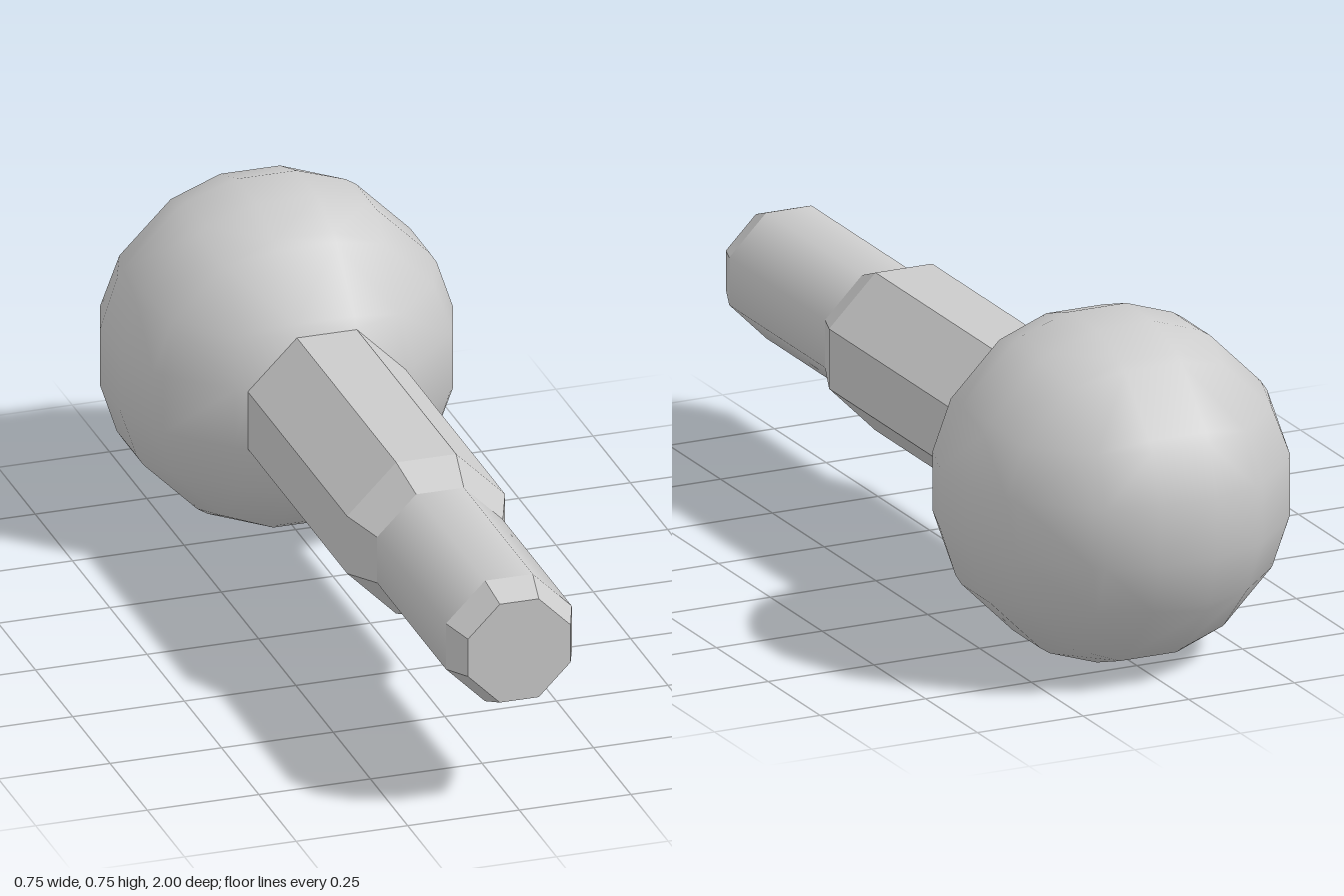
import * as THREE from 'three';
import { ConvexGeometry } from 'three/addons/geometries/ConvexGeometry.js';

const CENTRE_Y = 0.374;
const material = new THREE.MeshStandardMaterial({ color: 0xcccccc });

// Octagon of half-width r, with slightly short axis-aligned sides
function octagon(r) {
  const s = r * 0.379;
  return [[r, -s], [r, s], [s, r], [-s, r], [-r, s], [-r, -s], [-s, -r], [s, -r]];
}

// Octagonal tube along z from (r0, z0) to (r1, z1), flat or smoothly shaded
function octagonSection(r0, z0, r1, z1, smooth = false) {
  const a = octagon(r0), b = octagon(r1), pos = [];
  for (let i = 0; i < 8; i++) {
    const j = (i + 1) % 8;
    const p = [...a[i], z0], q = [...a[j], z0], u = [...b[i], z1], v = [...b[j], z1];
    pos.push(...p, ...q, ...v, ...p, ...v, ...u);
  }
  const g = new THREE.BufferGeometry();
  g.setAttribute('position', new THREE.Float32BufferAttribute(pos, 3));
  g.computeVertexNormals();
  if (smooth) {
    const n = new THREE.Vector3(), p = g.attributes.position;
    for (let i = 0; i < p.count; i++) {
      n.set(p.getX(i), p.getY(i), 0).normalize();
      g.attributes.normal.setXYZ(i, n.x, n.y, n.z);
    }
  }
  return g;
}

// Faceted ball with cube symmetry and smooth normals
function ballGeometry() {
  const seeds = [[0.067, 0.067, 0.373], [0.067, 0.178, 0.336], [0.067, 0.201, 0.321], [0.178, 0.178, 0.293]];
  const orders = [[0, 1, 2], [0, 2, 1], [1, 0, 2], [1, 2, 0], [2, 0, 1], [2, 1, 0]];
  const points = new Map();
  for (const s of seeds) for (const [a, b, c] of orders) for (let k = 0; k < 8; k++) {
    const p = new THREE.Vector3(
      s[a] * (k & 1 ? -1 : 1), s[b] * (k & 2 ? -1 : 1), s[c] * (k & 4 ? -1 : 1));
    points.set(p.toArray().join(), p);
  }
  const g = new ConvexGeometry([...points.values()]);
  const p = g.attributes.position, n = new THREE.Vector3();
  for (let i = 0; i < p.count; i++) {
    n.fromBufferAttribute(p, i).normalize();
    g.attributes.normal.setXYZ(i, n.x, n.y, n.z);
  }
  return g;
}

export function createModel() {
  const model = new THREE.Group();
  model.name = 'ballEndedPin';
  const add = (name, geometry, z = 0) => {
    const mesh = new THREE.Mesh(geometry, material);
    mesh.name = name;
    mesh.position.set(0, CENTRE_Y, z);
    model.add(mesh);
  };

  // Ball at the back
  add('ball', ballGeometry(), -0.627);

  // Thick octagonal shaft and its taper
  add('shaft', octagonSection(0.177, -0.295, 0.177, 0.375));
  add('shaftTaper', octagonSection(0.177, 0.375, 0.141, 0.468));

  // Thin pin with a chamfered tip
  add('pin', octagonSection(0.141, 0.468, 0.141, 0.93, true));
  add('pinChamfer', octagonSection(0.141, 0.93, 0.115, 1));
  const tip = new THREE.Shape(octagon(0.115).map(([x, y]) => new THREE.Vector2(x, y)));
  add('pinTip', new THREE.ShapeGeometry(tip), 1);

  return model;
}
